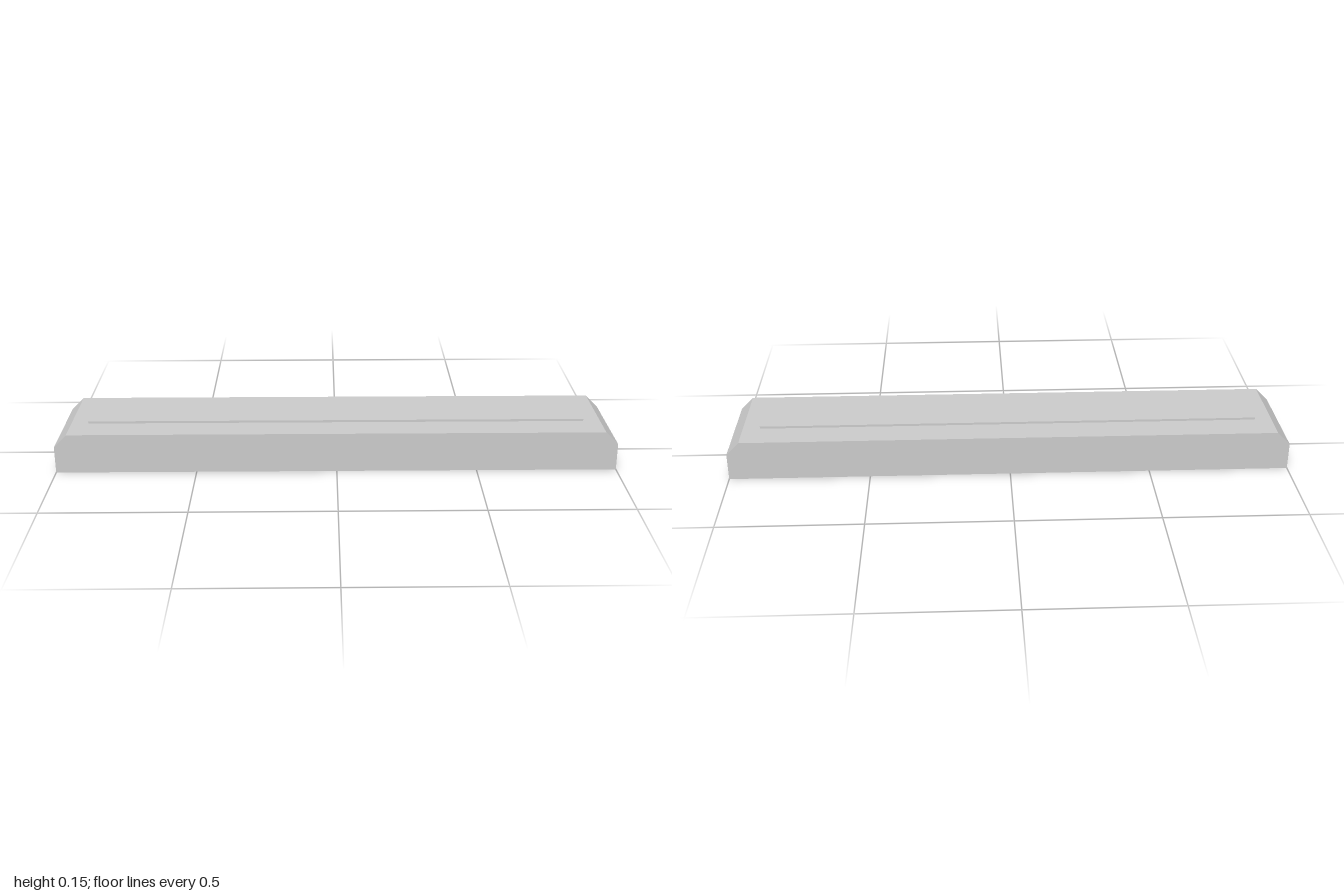
import * as THREE from 'three';

export function createModel() {
  const group = new THREE.Group();
  const material = new THREE.MeshStandardMaterial({ color: 0xcccccc, flatShading: true });

  // Long slab with chamfered upper ends, extruded front to back
  const depth = 0.36;
  const profile = new THREE.Shape([
    [-1, 0], [1, 0], [1, 0.098], [0.954, 0.144], [-0.954, 0.144], [-1, 0.098],
  ].map(([x, y]) => new THREE.Vector2(x, y)));
  const slabGeometry = new THREE.ExtrudeGeometry(profile, { depth, bevelEnabled: false });
  slabGeometry.translate(0, 0, -depth / 2);
  const slab = new THREE.Mesh(slabGeometry, material);
  slab.name = 'slab';
  group.add(slab);

  // Thin raised strip, sunk slightly into the slab top
  const strip = new THREE.Mesh(new THREE.BoxGeometry(1.786, 0.016, 0.146), material);
  strip.position.y = 0.144;
  strip.name = 'raisedStrip';
  group.add(strip);

  return group;
}
